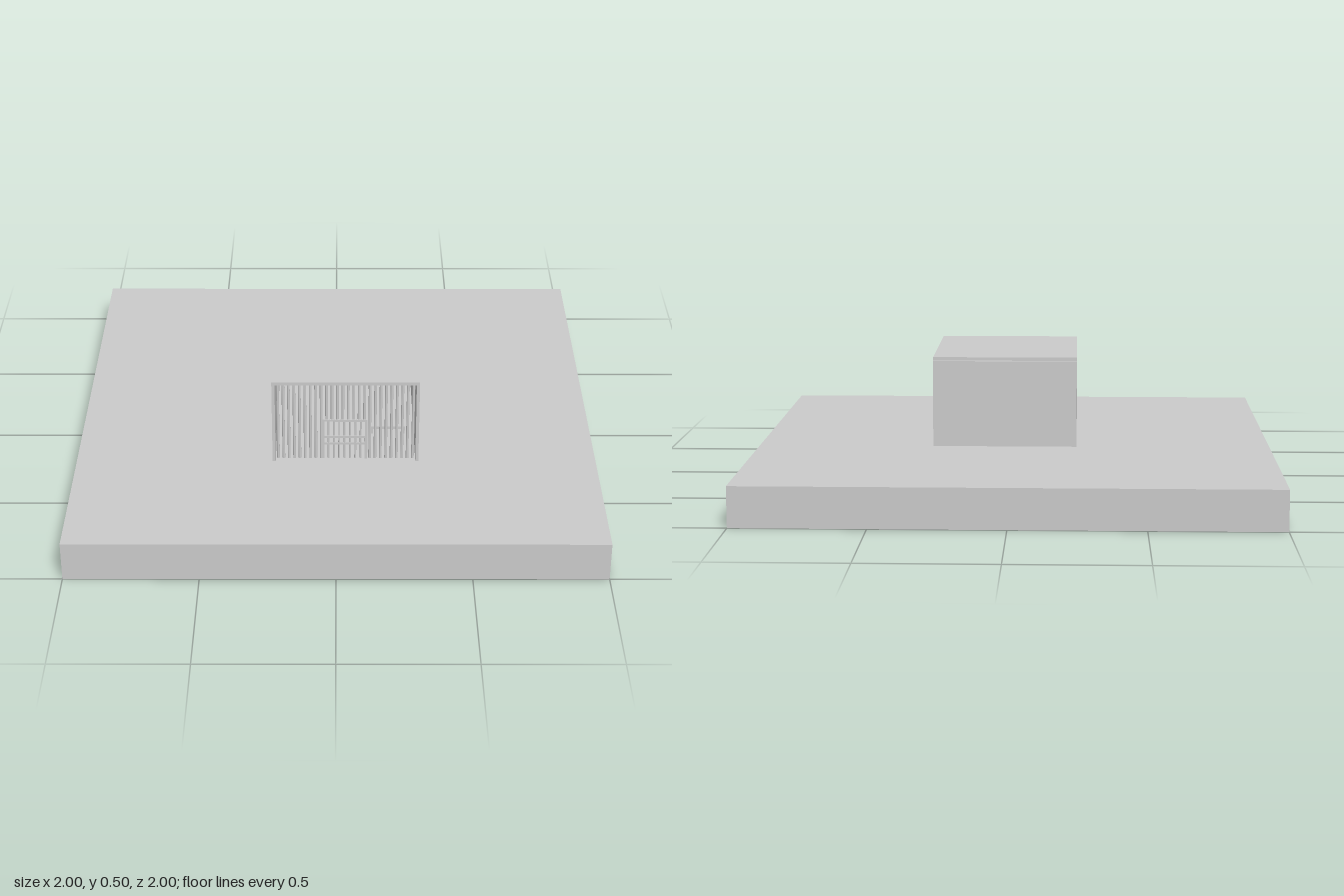
import * as THREE from 'three';

const material = new THREE.MeshStandardMaterial({ color: 0xcccccc });

// Box given by its limits on each axis
function box(parent, name, [x0, x1], [y0, y1], [z0, z1]) {
  const mesh = new THREE.Mesh(new THREE.BoxGeometry(x1 - x0, y1 - y0, z1 - z0), material);
  mesh.position.set((x0 + x1) / 2, (y0 + y1) / 2, (z0 + z1) / 2);
  mesh.name = name;
  parent.add(mesh);
  return mesh;
}

// Upright round bar
function bar(parent, name, x, y0, y1, z, radius) {
  const mesh = new THREE.Mesh(new THREE.CylinderGeometry(radius, radius, y1 - y0, 10), material);
  mesh.position.set(x, (y0 + y1) / 2, z);
  mesh.name = name;
  parent.add(mesh);
}

function group(parent, name) {
  const g = new THREE.Group();
  g.name = name;
  parent.add(g);
  return g;
}

export function createModel() {
  const model = new THREE.Group();
  model.name = 'barredRoom';
  const ground = 0.153, ceiling = 0.49, top = 0.503;
  const left = -0.245, right = 0.317, front = 0.435, back = -0.21;
  const wall = 0.012;

  // Wide square slab
  box(model, 'base', [-1, 1], [0, ground], [-1, 1]);

  // Shell of the room, open towards the front
  const shell = group(model, 'shell');
  box(shell, 'sideWall', [left, left + wall], [ground, ceiling], [back + 0.022, front]);
  box(shell, 'sideWall', [right - wall, right], [ground, ceiling], [back + 0.022, front]);
  box(shell, 'backWall', [left, right], [ground, ceiling], [back, back + 0.018]);
  box(shell, 'roof', [left, right], [ceiling, top], [back + 0.018, front]);

  // Row of bars across the open front
  const screen = group(model, 'frontBars');
  const barZ = front - 0.025, count = 26;
  const inner0 = left + wall, inner1 = right - wall;
  const doorLeft = -0.05, doorRight = 0.115, doorTop = 0.327;
  for (let i = 0; i < count; i++) {
    const x = inner0 + ((i + 0.5) / count) * (inner1 - inner0);
    const overDoor = x > doorLeft && x < doorRight;
    bar(screen, 'bar', x, overDoor ? doorTop : ground, ceiling, barZ, 0.0055);
  }

  // Low gate with rails
  const gate = group(model, 'gate');
  const gateZ = [barZ - 0.006, barZ + 0.006];
  for (const x of [doorLeft, doorRight]) {
    box(gate, 'gatePost', [x - 0.005, x + 0.005], [ground, doorTop], gateZ);
  }
  for (const y of [0.22, 0.25, doorTop - 0.005]) {
    box(gate, 'gateRail', [doorLeft, doorRight], [y - 0.004, y + 0.004], gateZ);
  }
  for (let i = 1; i < 8; i++) {
    const x = doorLeft + (i / 8) * (doorRight - doorLeft);
    bar(gate, 'gateBar', x, ground, doorTop, barZ, 0.004);
  }

  // Low bed along the wall inside
  const bed = group(model, 'bed');
  box(bed, 'bedTop', [0.13, 0.27], [0.177, 0.19], [-0.12, 0.24]);
  for (const x of [0.135, 0.26]) {
    for (const z of [-0.115, 0.225]) {
      box(bed, 'bedLeg', [x, x + 0.01], [ground, 0.177], [z, z + 0.01]);
    }
  }
  return model;
}
